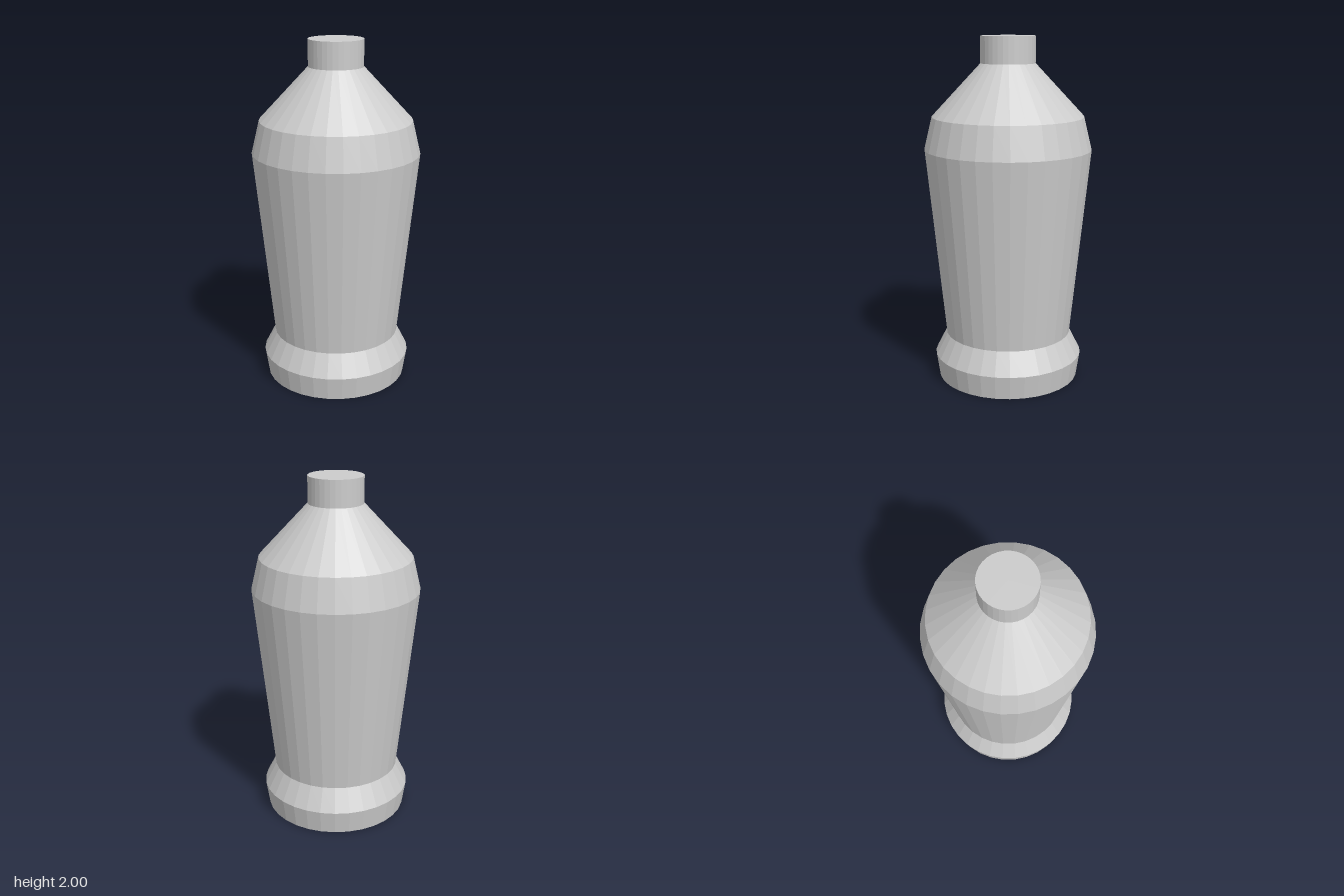
import * as THREE from 'three';

const SIDES = 32;

// Turned part from [radius, height] pairs, listed bottom to top
function turned(name, profile, material) {
  const points = profile.map(([r, y]) => new THREE.Vector2(r, y));
  const mesh = new THREE.Mesh(new THREE.LatheGeometry(points, SIDES), material);
  mesh.name = name;
  return mesh;
}

export function createModel() {
  const group = new THREE.Group();
  group.name = 'bottle';
  const material = new THREE.MeshStandardMaterial({ color: 0xcccccc, flatShading: true });

  group.add(
    // Flared foot, closed underneath
    turned('base', [[0, 0], [0.413, 0], [0.434, 0.138]], material),
    // Waist, tapering body and sloping shoulder
    turned('body', [[0.434, 0.138], [0.368, 0.268], [0.48, 1.364], [0.435, 1.55], [0.156, 1.848]], material),
    // Straight neck, closed on top
    turned('neck', [[0.156, 1.848], [0.156, 2], [0, 2]], material),
  );
  return group;
}
